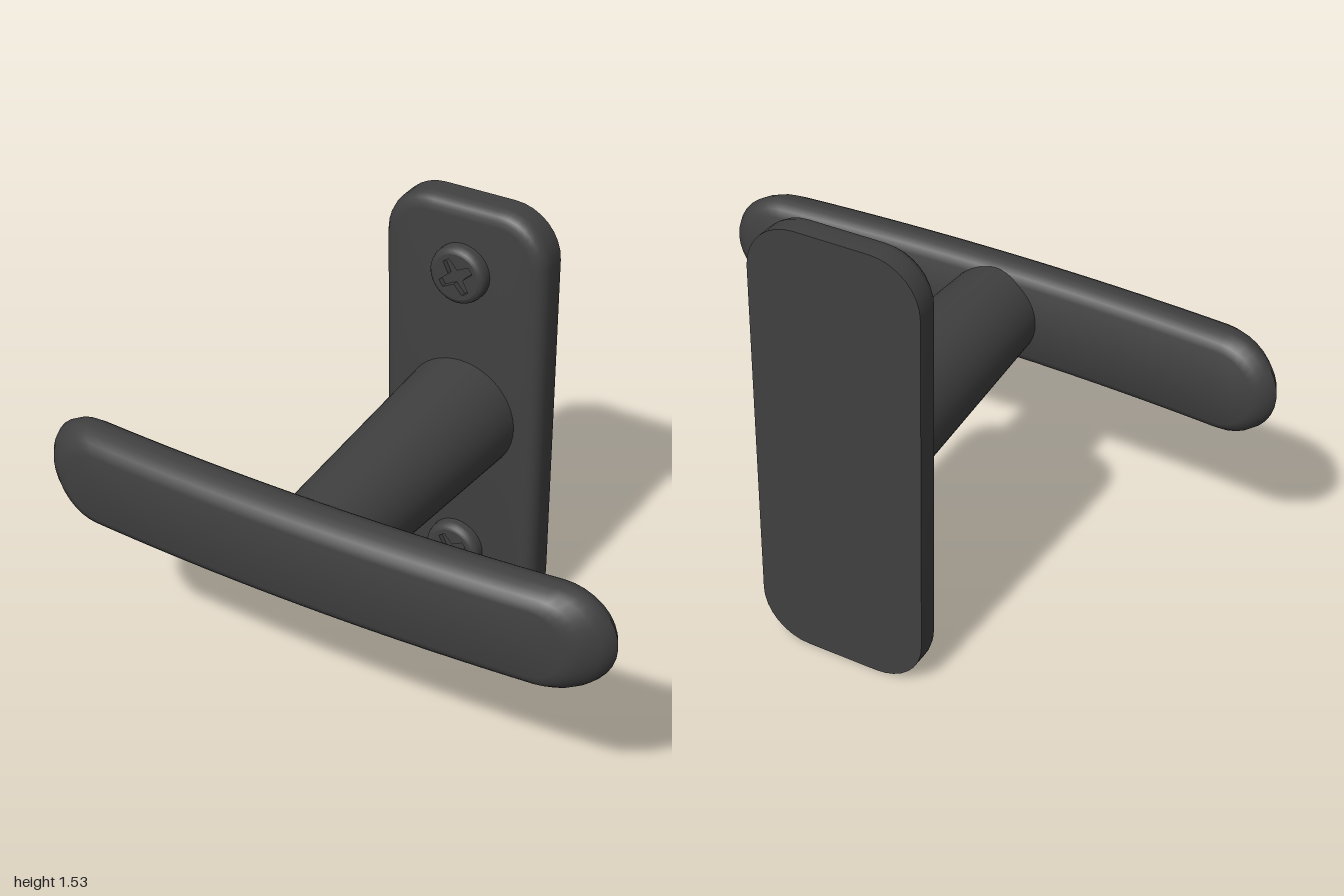
import * as THREE from 'three';
import { toCreasedNormals } from 'three/addons/utils/BufferGeometryUtils.js';

const material = new THREE.MeshStandardMaterial({ color: 0x404040 });
const MID_Y = 0.765;

// Upper half of a rounded rectangle, running from right to left.
function upperOutline(hx, hy, r, arcSteps = 8, straightSteps = 20) {
  const points = [];
  for (let i = 0; i <= arcSteps; i++) {
    const a = (i / arcSteps) * Math.PI / 2;
    points.push([hx - r + r * Math.cos(a), hy - r + r * Math.sin(a)]);
  }
  for (let i = 1; i < straightSteps; i++) points.push([(hx - r) * (1 - 2 * i / straightSteps), hy]);
  for (let i = 0; i <= arcSteps; i++) {
    const a = (1 + i / arcSteps) * Math.PI / 2;
    points.push([-hx + r + r * Math.cos(a), hy - r + r * Math.sin(a)]);
  }
  return points;
}

// Rounded slab from stacked rings, back to front. Each row is [z, inset x, inset y];
// bend pulls the ends backwards.
function slab(hx, hy, r, rows, bend = 0) {
  const pos = [], index = [];
  let half = 0;
  for (const [z, ix, iy] of rows) {
    const top = upperOutline(hx - ix, hy - iy, r - iy);
    half = top.length;
    const ring = [...top, ...top.map(([x, y]) => [x, -y]).reverse()];
    for (const [x, y] of ring) pos.push(x, y, z - bend * x * x);
  }
  const n = half * 2;
  for (let k = 0; k < rows.length - 1; k++) {
    for (let i = 0; i < n; i++) {
      const a = k * n + i, b = k * n + (i + 1) % n;
      index.push(a, b, a + n, b, b + n, a + n);
    }
  }
  // Caps: strips between matching upper and lower points
  const f = (rows.length - 1) * n;
  for (let i = 0; i < half - 1; i++) {
    const j = i + 1, bi = n - 1 - i, bj = n - 1 - j;
    index.push(f + i, f + j, f + bi, f + j, f + bj, f + bi);
    index.push(i, bi, j, j, bi, bj);
  }
  const g = new THREE.BufferGeometry();
  g.setAttribute('position', new THREE.Float32BufferAttribute(pos, 3));
  g.setIndex(index);
  return toCreasedNormals(g, 0.75);
}

function part(name, geometry, parent, y = 0, z = 0) {
  const mesh = new THREE.Mesh(geometry, material);
  mesh.name = name;
  mesh.position.set(0, y, z);
  parent.add(mesh);
  return mesh;
}

// Round screw head with a cross-shaped recess
function createScrew() {
  const screw = new THREE.Group();
  const rim = new THREE.LatheGeometry(
    [[0.1, -0.01], [0.1, 0.022], [0.097, 0.033], [0.09, 0.041], [0.08, 0.045]].map(p => new THREE.Vector2(...p)), 32);
  rim.rotateX(Math.PI / 2);
  part('screwRim', toCreasedNormals(rim, 0.9), screw);

  const face = new THREE.Shape().absarc(0, 0, 0.08, 0, Math.PI * 2);
  const cross = [];
  for (let i = 0; i < 4; i++) {
    const a = 0.59 + i * Math.PI / 2;
    for (const [r, d] of [[0.064, -0.2], [0.064, 0.2], [0.026, Math.PI / 4]]) {
      cross.push(new THREE.Vector2(r * Math.cos(a + d), r * Math.sin(a + d)));
    }
  }
  face.holes.push(new THREE.Path(cross));
  part('screwFace', new THREE.ExtrudeGeometry(face, { depth: 0.02, bevelEnabled: false, curveSegments: 16 }), screw, 0, 0.025);
  part('recessFloor', new THREE.CircleGeometry(0.08, 32), screw, 0, 0.026);
  return screw;
}

export function createModel() {
  const model = new THREE.Group();
  model.name = 'wallHook';

  // Wall plate: sharp at the back, rounded at the front
  part('wallPlate', slab(0.29, MID_Y, 0.165, [
    [-0.555, 0, 0], [-0.49, 0, 0], [-0.47, 0.005, 0.005],
    [-0.456, 0.016, 0.016], [-0.448, 0.03, 0.03], [-0.445, 0.05, 0.05],
  ]), model, MID_Y);

  // Tapered stem
  const stem = new THREE.CylinderGeometry(0.159, 0.203, 0.9, 48);
  stem.rotateX(Math.PI / 2);
  part('stem', stem, model, MID_Y, -0.01);

  // Bowed crossbar with soft edges
  part('crossbar', slab(1, 0.176, 0.176, [
    [0.4, 0.06, 0.045], [0.415, 0.035, 0.02], [0.435, 0.012, 0.005], [0.46, 0, 0],
    [0.485, 0.01, 0.003], [0.51, 0.03, 0.01], [0.535, 0.065, 0.025], [0.548, 0.09, 0.04], [0.555, 0.12, 0.06],
  ], 0.05), model, MID_Y);

  // Upper and lower screws
  for (const side of [1, -1]) {
    const screw = createScrew();
    screw.name = side > 0 ? 'upperScrew' : 'lowerScrew';
    screw.position.set(0, MID_Y + side * 0.529, -0.446);
    model.add(screw);
  }
  return model;
}
